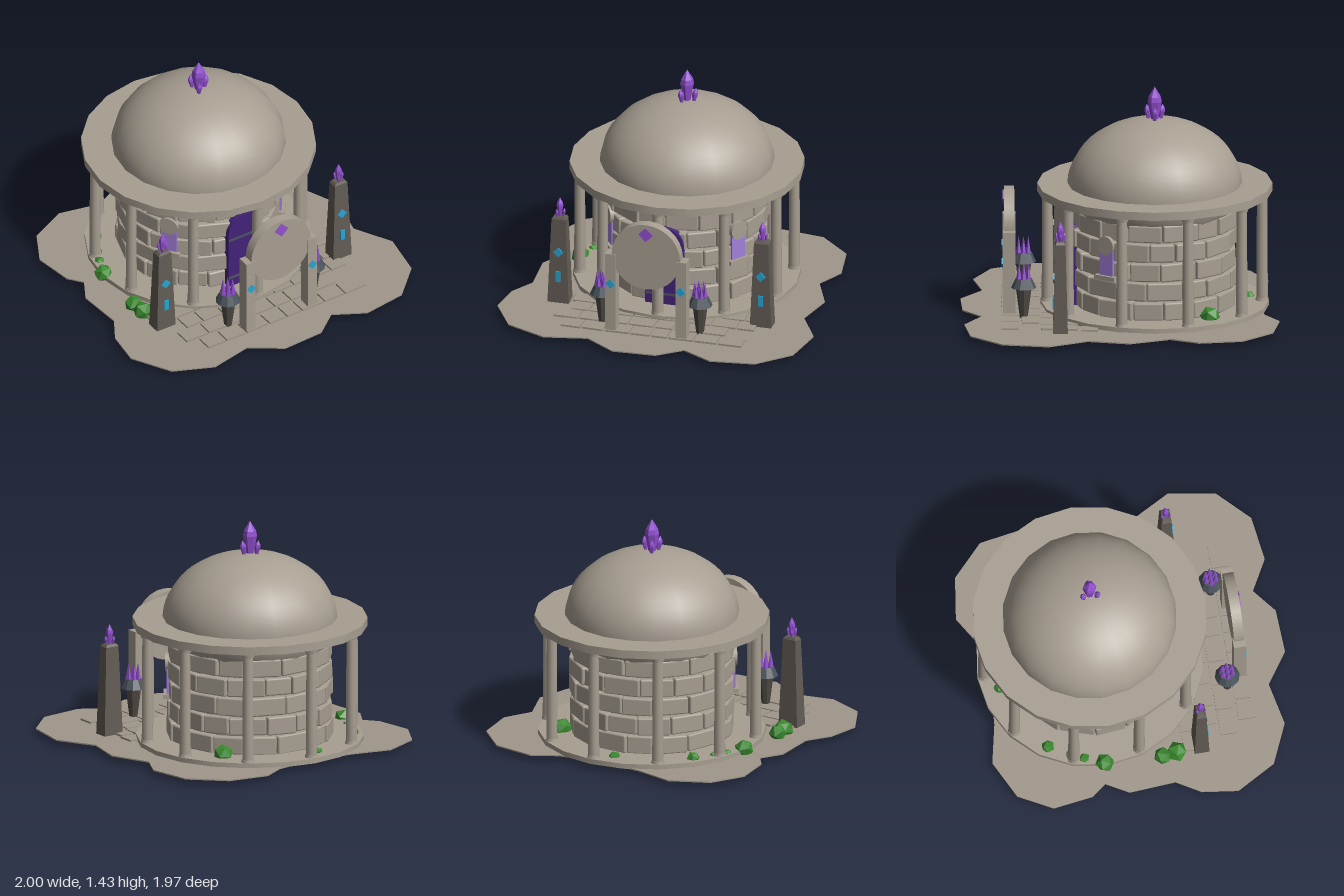
import * as THREE from 'three';
import { RoundedBoxGeometry } from 'three/addons/geometries/RoundedBoxGeometry.js';

const material = (name, color, flat = false) => {
  const m = new THREE.MeshStandardMaterial({ color, flatShading: flat });
  m.name = name;
  return m;
};

export function createModel() {
  const stone = material('stone', 0xa89f92);
  const earth = material('earth', 0xa0978a, true);
  const darkStone = material('dark stone', 0x635c55, true);
  const slate = material('slate', 0x4a535b, true);
  const iron = material('dark post', 0x4f4a44, true);
  const crystal = material('purple crystal', 0x9350d2, true);
  const doorPurple = material('door purple', 0x43237a);
  const lilac = material('window lilac', 0xa27fdc);
  const cyan = material('cyan rune', 0x27a6d4);
  const green = material('leaf green', 0x3b8a2f, true);

  const model = new THREE.Group();
  model.name = 'domedTemple';
  const CZ = -0.22; // centre of the round building

  let seed = 11;
  const rnd = () => (seed = (seed * 16807) % 2147483647) / 2147483647;

  const add = (parent, name, geo, mat, x = 0, y = 0, z = 0) => {
    const mesh = new THREE.Mesh(geo, mat);
    mesh.name = name;
    mesh.position.set(x, y, z);
    parent.add(mesh);
    return mesh;
  };
  const group = (parent, name, x = 0, y = 0, z = 0, ry = 0) => {
    const g = new THREE.Group();
    g.name = name;
    g.position.set(x, y, z);
    g.rotation.y = ry;
    parent.add(g);
    return g;
  };
  const box = (w, h, d) => new THREE.BoxGeometry(w, h, d);
  const cyl = (rt, rb, h, n) => new THREE.CylinderGeometry(rt, rb, h, n);
  const diamond = (parent, mat, size, x, y, z) => {
    add(parent, 'diamondRune', box(size, size, 0.009), mat, x, y, z).rotation.z = Math.PI / 4;
  };
  // square tapered block, given half widths
  const taper = (top, bottom, h, zScale) =>
    cyl(top * Math.SQRT2, bottom * Math.SQRT2, h, 4).rotateY(Math.PI / 4).scale(1, 1, zScale);

  // Ground slab with a scalloped outline
  const outline = [
    [-0.57, -0.925], [-0.32, -0.87], [0, -0.85], [0.25, -0.9], [0.4, -0.99], [0.67, -0.95], [0.87, -0.76],
    [0.915, -0.49], [0.825, -0.31], [0.93, -0.06], [0.87, 0.2], [1, 0.44], [0.95, 0.73], [0.755, 0.92],
    [0.475, 0.957], [0.28, 0.85], [0.13, 0.968], [-0.145, 0.98], [-0.34, 0.845], [-0.61, 0.9], [-0.86, 0.79],
    [-1, 0.545], [-0.97, 0.32], [-0.88, 0.17], [-0.9, -0.12], [-0.82, -0.26], [-0.89, -0.35], [-0.925, -0.6],
    [-0.81, -0.81]];
  const slab = new THREE.Shape(outline.map(([x, z]) => new THREE.Vector2(x, -z)));
  add(model, 'ground', new THREE.ExtrudeGeometry(slab, { depth: 0.008, bevelEnabled: false })
    .rotateX(-Math.PI / 2), earth, 0, 0.035, 0);

  // Paving stones in staggered rows: z, first x, last x
  const paving = group(model, 'paving');
  [[0.185, 0.55, 0.66], [0.31, -0.7, 0.64], [0.43, -0.55, 0.64], [0.55, -0.63, 0.48], [0.675, -0.55, 0.66]]
    .forEach(([z, x0, x1]) => {
      for (let x = x0; x < x1 - 0.06;) {
        const w = Math.min(0.11 + rnd() * 0.06, x1 - x);
        const cx = x + w / 2;
        if (Math.hypot(cx, z - CZ) > 0.6) {
          add(paving, 'pavingStone', box(w - 0.012, 0.016, 0.106), earth, cx, 0.047, z)
            .rotation.y = (rnd() - 0.5) * 0.07;
        }
        x += w;
      }
    });

  // Round building: floor, wall core, roof ring and dome
  const temple = group(model, 'temple', 0, 0, CZ);
  const flatStone = material('stone', 0xa89f92);
  flatStone.flatShading = false;
  add(temple, 'floor', cyl(0.705, 0.705, 0.032, 20), stone, 0, 0.056, 0);
  add(temple, 'wallCore', cyl(0.462, 0.462, 0.66, 32), stone, 0, 0.4, 0);
  add(temple, 'roofRing', cyl(0.727, 0.727, 0.052, 20), stone, 0, 0.796, 0);
  add(temple, 'dome', new THREE.SphereGeometry(0.54, 20, 20, 0, Math.PI * 2, 0, Math.PI * 0.7)
    .scale(1, 0.765, 1), stone, 0, 0.818, 0);

  // Wall bricks in five courses
  const wall = group(temple, 'brickWall');
  const perRow = 15;
  for (let row = 0; row < 5; row++) {
    const cuts = Array.from({ length: perRow }, (_, i) => i + (row % 2) * 0.5 + (rnd() - 0.5) * 0.3);
    cuts.push(cuts[0] + perRow);
    for (let i = 0; i < perRow; i++) {
      const a = ((cuts[i] + cuts[i + 1]) / 2) * (Math.PI * 2 / perRow);
      const w = (cuts[i + 1] - cuts[i]) * (Math.PI / perRow) - 0.008;
      const r = 0.455 + rnd() * 0.012;
      const brick = add(wall, 'brick', new RoundedBoxGeometry(w, 0.105 + rnd() * 0.012, 0.08, 1, 0.01), stone,
        Math.sin(a) * r, 0.125 + row * 0.124, Math.cos(a) * r);
      brick.rotation.set(0, a, (rnd() - 0.5) * 0.05);
    }
  }

  // Ten columns with bases and capitals
  for (let i = 0; i < 10; i++) {
    const a = (i * Math.PI) / 5;
    const c = group(temple, 'column', Math.sin(a) * 0.663, 0, Math.cos(a) * 0.663, a);
    add(c, 'shaft', cyl(0.032, 0.036, 0.7, 10), stone, 0, 0.42, 0);
    add(c, 'capital', cyl(0.044, 0.04, 0.03, 8), stone, 0, 0.757, 0);
    add(c, 'columnBase', cyl(0.038, 0.042, 0.02, 8), stone, 0, 0.08, 0);
  }

  // Arched door with bands and a knob
  const door = group(temple, 'door', 0, 0, 0.48);
  const arch = new THREE.Shape();
  arch.moveTo(-0.122, 0.07);
  arch.lineTo(0.122, 0.07);
  arch.lineTo(0.122, 0.47);
  arch.absarc(0, 0.47, 0.122, 0, Math.PI);
  add(door, 'doorLeaf', new THREE.ExtrudeGeometry(arch, { depth: 0.045, bevelEnabled: false, curveSegments: 10 }),
    doorPurple);
  for (const y of [0.14, 0.43]) add(door, 'doorBand', box(0.244, 0.014, 0.008), slate, 0, y, 0.047);
  add(door, 'doorKnob', new THREE.SphereGeometry(0.011, 8, 6), slate, 0.075, 0.3, 0.052);

  // Two side windows
  for (const s of [-1, 1]) {
    const w = group(temple, 'window', 0, 0, 0, s * 0.942);
    add(w, 'windowPane', box(0.1, 0.17, 0.06), lilac, 0, 0.42, 0.485);
    add(w, 'windowArch', cyl(0.06, 0.06, 0.07, 16).rotateX(Math.PI / 2), stone, 0, 0.53, 0.49);
    add(w, 'windowSill', box(0.15, 0.028, 0.09), stone, 0, 0.325, 0.49);
  }

  // Crystal clusters: one tall shard with three small ones around it
  const shard = (r, h) => new THREE.LatheGeometry(
    [[0, 0], [0.5 * r, 0], [r, 0.55 * h], [0.85 * r, 0.7 * h], [0, h]].map(([x, y]) => new THREE.Vector2(x, y)), 6);
  const cluster = (parent, x, y, z, r, h) => {
    const g = group(parent, 'crystalCluster', x, y, z);
    add(g, 'mainShard', shard(r, h), crystal);
    for (let i = 0; i < 3; i++) {
      const a = (i * Math.PI * 2) / 3;
      const m = add(g, 'smallShard', shard(r * 0.45, h * 0.45), crystal, Math.cos(a) * r, 0, Math.sin(a) * r);
      m.rotation.set(Math.sin(a) * 0.15, 0, -Math.cos(a) * 0.15);
    }
  };
  cluster(temple, 0, 1.225, 0, 0.044, 0.211);

  // Free-standing gate: round slab held by two posts
  const gate = group(model, 'gate', 0, 0, 0.68);
  add(gate, 'gateDisc', cyl(0.22, 0.22, 0.064, 28).rotateX(Math.PI / 2), stone, 0, 0.575, 0);
  diamond(gate, crystal, 0.066, 0, 0.73, 0.036);
  for (const s of [-1, 1]) {
    add(gate, 'gatePost', box(0.068, 0.53, 0.078), stone, s * 0.227, 0.305, 0);
    diamond(gate, cyan, 0.044, s * 0.225, 0.37, 0.042);
  }

  for (const s of [-1, 1]) {
    // Obelisk with runes and a crystal on top
    const o = group(model, 'obelisk', s * 0.65, 0, 0.365);
    add(o, 'obeliskShaft', taper(0.046, 0.068, 0.56, 0.68), darkStone, 0, 0.325, 0);
    add(o, 'obeliskTip', taper(0.034, 0.046, 0.016, 0.68), darkStone, 0, 0.613, 0);
    diamond(o, cyan, 0.045, 0, 0.385, 0.041);
    add(o, 'barRune', box(0.03, 0.07, 0.009), cyan, 0, 0.222, 0.045);
    cluster(o, 0, 0.62, 0, 0.022, 0.125);

    // Brazier with crystal flames
    const b = group(model, 'brazier', s * 0.313, 0, 0.59);
    add(b, 'brazierPost', cyl(0.05, 0.024, 0.2, 8), iron, 0, 0.142, 0);
    add(b, 'brazierBowl', cyl(0.05, 0.078, 0.06, 10), slate, 0, 0.266, 0);
    for (let i = 0; i < 7; i++) {
      const a = (i * Math.PI) / 3;
      const r = i < 6 ? 0.034 : 0;
      add(b, 'crystalFlame', new THREE.ConeGeometry(0.018, 0.1, 5), crystal,
        Math.cos(a) * r, 0.34, Math.sin(a) * r);
    }
  }

  // Bushes: x, y, z, radius
  [[-0.705, 0.07, 0.12, 0.056], [-0.69, 0.065, 0.21, 0.065], [-0.69, 0.07, -0.24, 0.06],
    [-0.6, 0.06, -0.44, 0.035], [-0.64, 0.055, -0.36, 0.04], [-0.53, 0.075, -0.57, 0.042],
    [-0.1, 0.065, -0.8, 0.04], [0.44, 0.085, -0.56, 0.064]]
    .forEach(([x, y, z, r]) => {
      add(model, 'bush', new THREE.IcosahedronGeometry(r, 0), green, x, y, z).rotation.set(rnd(), rnd() * 3, 0);
    });

  return model;
}
